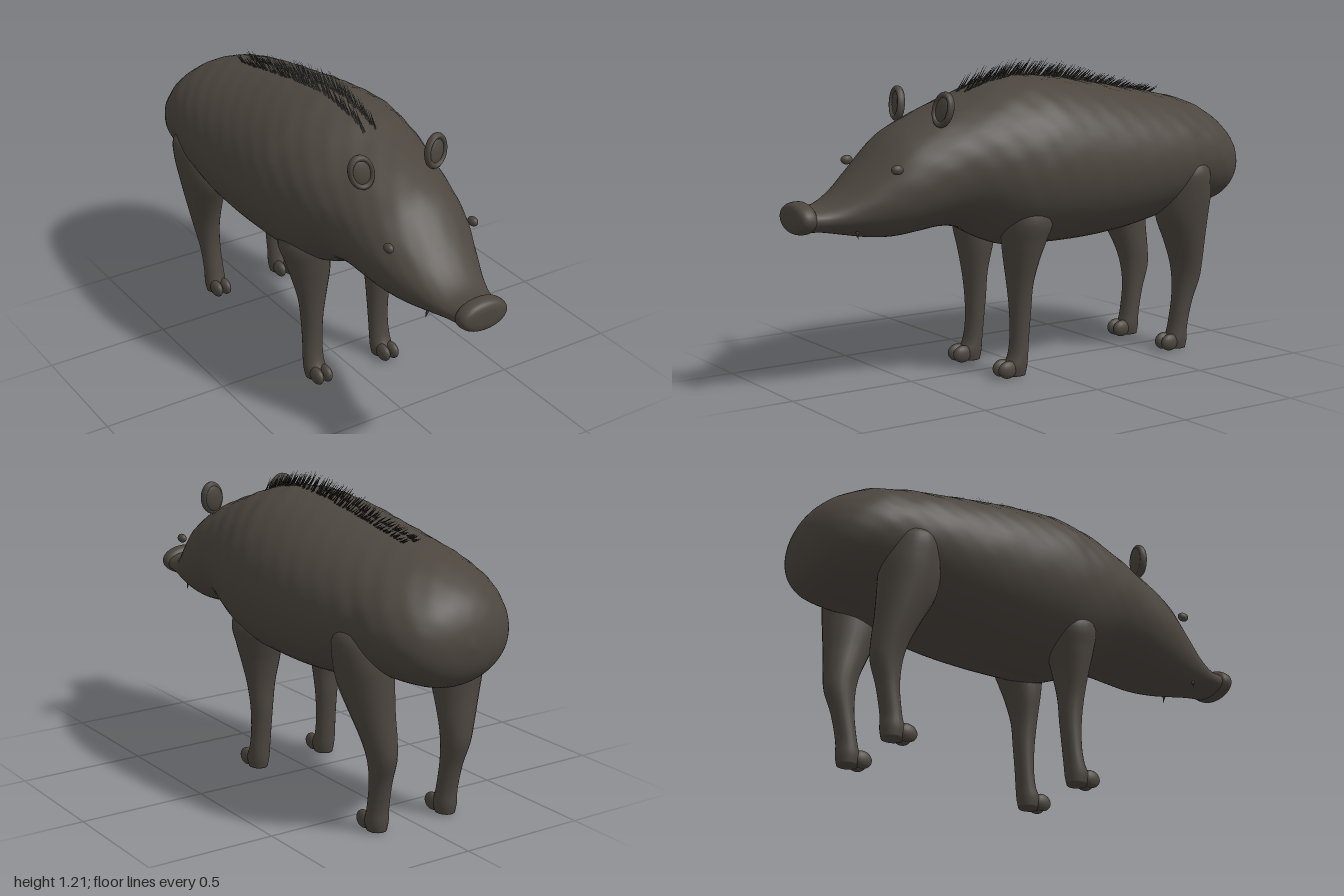
import * as THREE from 'three';
import { mergeGeometries } from 'three/addons/utils/BufferGeometryUtils.js';

const hide = new THREE.MeshStandardMaterial({ color: 0x4c463f, name: 'dark hide' });
const hair = new THREE.MeshStandardMaterial({ color: 0x2e2a26, name: 'bristle black' });

// Smooth interpolation of section rows
function sample(rows, u) {
  const i = Math.min(Math.floor(u), rows.length - 2), t = u - i;
  const at = k => rows[Math.max(0, Math.min(rows.length - 1, k))];
  const [a, b, c, d] = [at(i - 1), at(i), at(i + 1), at(i + 2)];
  return b.map((p, k) => p + 0.5 * t * (c[k] - a[k] +
    t * (2 * a[k] - 5 * p + 4 * c[k] - d[k] + t * (3 * (p - c[k]) + d[k] - a[k]))));
}

// Closed skin over rings; place(row, cos, sin) returns one point
function loft(rows, segs, steps, place) {
  const pos = [], idx = [], n = (rows.length - 1) * steps;
  for (let i = 0; i <= n; i++) {
    const row = sample(rows, i / steps);
    for (let j = 0; j < segs; j++) {
      const a = (j / segs) * Math.PI * 2;
      pos.push(...place(row, Math.cos(a), Math.sin(a)));
    }
  }
  for (let i = 0; i < n; i++) for (let j = 0; j < segs; j++) {
    const a = i * segs + j, b = i * segs + (j + 1) % segs;
    idx.push(a, b, b + segs, a, b + segs, a + segs);
  }
  // end caps
  for (const [row, base, flip] of [[rows[0], 0, true], [rows[rows.length - 1], n * segs, false]]) {
    const c = pos.length / 3;
    pos.push(...place(row, 0, 0));
    for (let j = 0; j < segs; j++) {
      const a = base + j, b = base + (j + 1) % segs;
      idx.push(c, flip ? b : a, flip ? a : b);
    }
  }
  const g = new THREE.BufferGeometry();
  g.setAttribute('position', new THREE.Float32BufferAttribute(pos, 3));
  g.setIndex(idx);
  g.computeVertexNormals();
  return g;
}

// Body rings from rump to muzzle: z, top, bottom, half width
const BODY = [
  [-1, 0.76, 0.74, 0.01], [-0.985, 0.83, 0.67, 0.11], [-0.95, 0.895, 0.615, 0.19],
  [-0.89, 0.95, 0.58, 0.245], [-0.8, 1.0, 0.57, 0.285], [-0.7, 1.03, 0.565, 0.303],
  [-0.6, 1.05, 0.54, 0.325], [-0.4, 1.085, 0.502, 0.345], [-0.2, 1.12, 0.485, 0.35],
  [0, 1.14, 0.485, 0.345], [0.1, 1.132, 0.49, 0.33], [0.2, 1.112, 0.525, 0.31],
  [0.3, 1.075, 0.575, 0.285], [0.4, 1.04, 0.59, 0.257], [0.5, 1.0, 0.58, 0.237],
  [0.6, 0.945, 0.57, 0.213], [0.7, 0.85, 0.577, 0.175], [0.8, 0.76, 0.595, 0.132],
  [0.88, 0.715, 0.61, 0.104], [0.95, 0.71, 0.615, 0.09],
];

function bodyPoint([z, top, bottom, w], c, s) {
  const x = w * c, y = (top + bottom) / 2 + (top - bottom) / 2 * s;
  // soft lumps over the upper coat
  const lump = 1 + 0.009 * Math.max(0, Math.min(1, s + 0.6)) * Math.min(1, w / 0.3) *
    Math.sin(z * 42 + y * 16) * Math.sin(Math.atan2(s, c) * 14 - z * 13);
  return [x * lump, (top + bottom) / 2 + (y - (top + bottom) / 2) * lump, z];
}

function backHeight(z) {
  const i = BODY.findIndex(r => r[0] > z), a = BODY[i - 1], b = BODY[i];
  return a[1] + (b[1] - a[1]) * (z - a[0]) / (b[0] - a[0]);
}

// Leg rings from the top down: y, centre x, centre z, radius x, radius z
const FRONT_LEG = [
  [0.74, 0.18, 0.09, 0.05, 0.06], [0.62, 0.175, 0.09, 0.105, 0.1], [0.53, 0.168, 0.098, 0.092, 0.085],
  [0.46, 0.16, 0.104, 0.08, 0.067], [0.36, 0.155, 0.108, 0.058, 0.049], [0.26, 0.154, 0.106, 0.045, 0.042],
  [0.16, 0.155, 0.11, 0.041, 0.036], [0.09, 0.157, 0.118, 0.042, 0.038],
  [0.045, 0.157, 0.13, 0.043, 0.047], [0.008, 0.157, 0.13, 0.036, 0.04],
];
const HIND_LEG = [
  [0.8, 0.24, -0.65, 0.04, 0.05], [0.75, 0.225, -0.65, 0.1, 0.09], [0.66, 0.212, -0.65, 0.107, 0.114],
  [0.56, 0.2, -0.654, 0.097, 0.112], [0.46, 0.188, -0.678, 0.08, 0.088], [0.37, 0.175, -0.7, 0.065, 0.07],
  [0.29, 0.166, -0.708, 0.052, 0.06], [0.2, 0.16, -0.694, 0.043, 0.043], [0.1, 0.157, -0.676, 0.042, 0.039],
  [0.045, 0.157, -0.668, 0.043, 0.046], [0.008, 0.157, -0.668, 0.036, 0.04],
];

export function createModel() {
  const model = new THREE.Group();
  model.name = 'boar';
  const add = (parent, name, geo, mat, x = 0, y = 0, z = 0) => {
    const m = new THREE.Mesh(geo, mat);
    m.name = name;
    m.position.set(x, y, z);
    parent.add(m);
    return m;
  };
  const ball = new THREE.SphereGeometry(1, 20, 14);

  add(model, 'body', loft(BODY, 64, 5, bodyPoint), hide);

  // Flat oval nose pad: z, half width, half height
  const nose = [[0.925, 0.07, 0.04], [0.938, 0.094, 0.055], [0.955, 0.101, 0.06],
    [0.98, 0.098, 0.057], [0.994, 0.082, 0.046], [1, 0.045, 0.025]];
  add(model, 'nose', loft(nose, 36, 3, ([z, w, h], c, s) => [w * c, 0.668 + h * s, z]), hide);

  for (const side of [1, -1]) {
    const label = side > 0 ? 'left' : 'right';

    // Legs with two toes each
    for (const [name, rows, toeZ] of [['FrontLeg', FRONT_LEG, 0.178], ['HindLeg', HIND_LEG, -0.62]]) {
      const leg = new THREE.Group();
      leg.name = label + name;
      model.add(leg);
      const mirrored = rows.map(([y, x, ...rest]) => [y, x * side, ...rest]);
      add(leg, 'limb', loft(mirrored, 24, 4, ([y, x, z, rx, rz], c, s) => [x + rx * c, y, z + rz * s]), hide);
      for (const dx of [-0.02, 0.02])
        add(leg, 'toe', ball, hide, side * 0.157 + dx, 0.037, toeZ).scale.set(0.021, 0.034, 0.041);
    }

    // Cupped ear with a raised rim
    const ear = new THREE.Group();
    ear.name = label + 'Ear';
    ear.position.set(side * 0.162, 1.04, 0.452);
    ear.rotation.set(-0.12, side * 0.15, -side * 0.25);
    model.add(ear);
    add(ear, 'earBack', ball, hide, 0, 0, -0.006).scale.set(0.045, 0.06, 0.019);
    add(ear, 'earRim', new THREE.TorusGeometry(0.041, 0.009, 10, 32), hide).scale.set(1, 1.36, 1.7);

    // Eye and small tusk
    add(model, label + 'Eye', ball, hide, side * 0.183, 0.838, 0.66).scale.set(0.016, 0.018, 0.024);
    const tusk = add(model, label + 'Tusk', new THREE.ConeGeometry(0.009, 0.04, 10), hide, side * 0.094, 0.605, 0.775);
    tusk.rotation.set(0, 0, Math.PI + side * 0.25);
  }

  // Two rows of bristles leaning backwards along the spine
  let seed = 7;
  const rand = () => (seed = (seed * 16807) % 2147483647) / 2147483647;
  const spikes = [];
  for (let i = 0; i < 240; i++) {
    const side = i % 2 ? 1 : -1;
    const z = 0.28 - 0.9 * (i / 240) + (rand() - 0.5) * 0.02;
    const rear = Math.max(0, -z) / 0.62;
    const length = (0.085 - 0.025 * rear) * (0.75 + 0.4 * rand());
    const g = new THREE.ConeGeometry(0.0035, length, 4);
    g.translate(0, length / 2, 0);
    g.rotateX(-(0.7 + 0.5 * rear + (rand() - 0.5) * 0.25));
    g.rotateZ(-side * (rand() - 0.4) * 0.16);
    g.translate(side * (0.018 + rand() * 0.012), backHeight(z) - 0.008, z);
    spikes.push(g);
  }
  add(model, 'maneBristles', mergeGeometries(spikes), hair);

  return model;
}
